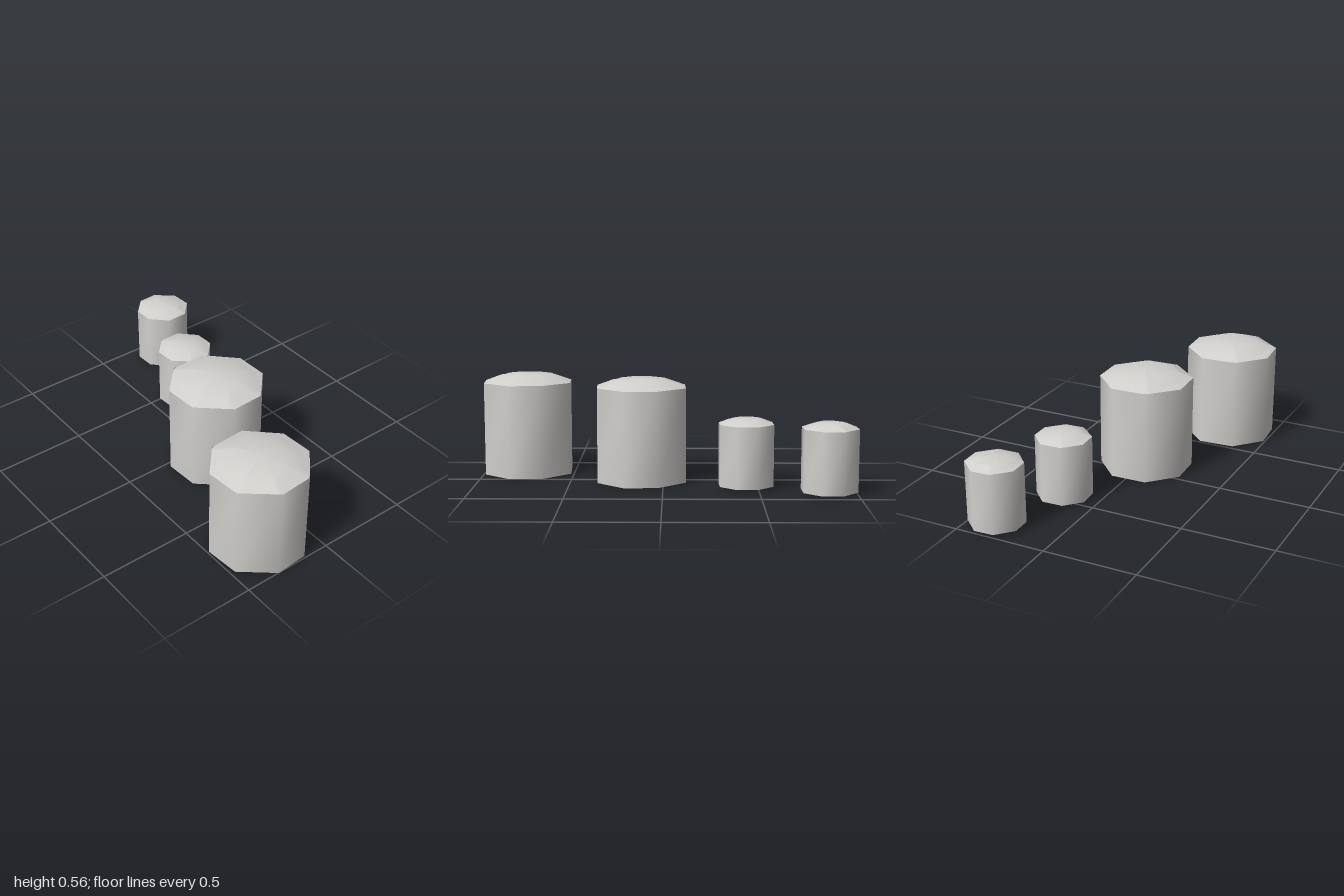
import * as THREE from 'three';

// Eight corners of the stump outline, as x, z
const OUTLINE = [
  [-0.09, -0.235], [0.09, -0.24], [0.235, -0.105], [0.243, 0.073],
  [0.1, 0.233], [-0.087, 0.243], [-0.233, 0.105], [-0.238, -0.09],
];
// Chipped edge of the top: position along the outline, then x, z
const CHIPPED = [
  [0, -0.09, -0.2], [1, 0.08, -0.2], [1.9, 0.185, -0.115], [2.05, 0.21, -0.095],
  [2.25, 0.15, -0.055], [3, 0.155, 0.04], [3.15, 0.18, 0.07], [3.75, 0.08, 0.155],
  [3.9, 0.1, 0.2], [4, 0.085, 0.2], [5, -0.075, 0.205], [5.85, -0.195, 0.115],
  [5.95, -0.21, 0.11], [6.1, -0.19, 0.085], [7, -0.19, -0.075],
];
const RIM = 0.51, TOP = 0.555;

function outlinePoint(t) {
  const i = Math.floor(t), f = t - i;
  const a = OUTLINE[i % 8], b = OUTLINE[(i + 1) % 8];
  return [a[0] + (b[0] - a[0]) * f, a[1] + (b[1] - a[1]) * f];
}

// Gently domed height of the top surface
function domeHeight(x, z) {
  const k = Math.min(1, Math.max(0, (Math.hypot(x, z) - 0.11) / 0.13));
  return TOP - (TOP - RIM) * Math.pow(k, 1.5);
}

// Smooth closed strip through rings of equal length, listed from the bottom up
function loft(rings) {
  const n = rings[0].length, index = [];
  for (let r = 0; r < rings.length - 1; r++) {
    for (let i = 0; i < n; i++) {
      const a = r * n + i, b = r * n + (i + 1) % n;
      index.push(a, a + n, b, b, a + n, b + n);
    }
  }
  const g = new THREE.BufferGeometry();
  g.setAttribute('position', new THREE.Float32BufferAttribute(rings.flat(2), 3));
  g.setIndex(index);
  g.computeVertexNormals();
  return g;
}

export function createModel() {
  const model = new THREE.Group();
  model.name = 'stumps';
  const stone = new THREE.MeshStandardMaterial({ color: 0xd2d0cd, side: THREE.DoubleSide });
  stone.name = 'pale grey';

  // Wall, open underneath
  const wall = loft([0, RIM].map((y) => OUTLINE.map(([x, z]) => [x, y, z])));

  // Worn bevel between the rim and the chipped edge
  const edge = CHIPPED.map(([, x, z]) => [x, domeHeight(x, z), z]);
  const rim = CHIPPED.map(([t]) => {
    const [x, z] = outlinePoint(t);
    return [x, RIM, z];
  });
  const bevel = loft([rim, edge]);

  // Slightly domed cap, closing on its centre
  const inner = edge.map(([x, , z]) => [x * 0.6, domeHeight(x * 0.6, z * 0.6), z * 0.6]);
  const cap = loft([edge, inner, inner.map(() => [0, TOP, 0])]);

  const parts = { wall, bevel, cap };
  // Name, x, y, z, width scale, height scale, turn
  const stumps = [
    ['smallOuterStump', -0.856, 0.014, -0.35, 0.592, 0.64, Math.PI],
    ['smallInnerStump', -0.437, 0.014, -0.2, 0.592, 0.64, 0],
    ['largeInnerStump', 0.117, 0, 0.007, 1, 1, 0],
    ['largeOuterStump', 0.757, 0, 0.245, 1, 1, 0.03],
  ];
  for (const [name, x, y, z, width, height, turn] of stumps) {
    const stump = new THREE.Group();
    stump.name = name;
    for (const [part, geometry] of Object.entries(parts)) {
      const mesh = new THREE.Mesh(geometry, stone);
      mesh.name = part;
      stump.add(mesh);
    }
    stump.position.set(x, y, z);
    stump.scale.set(width, height, width);
    stump.rotation.y = turn;
    model.add(stump);
  }
  return model;
}
